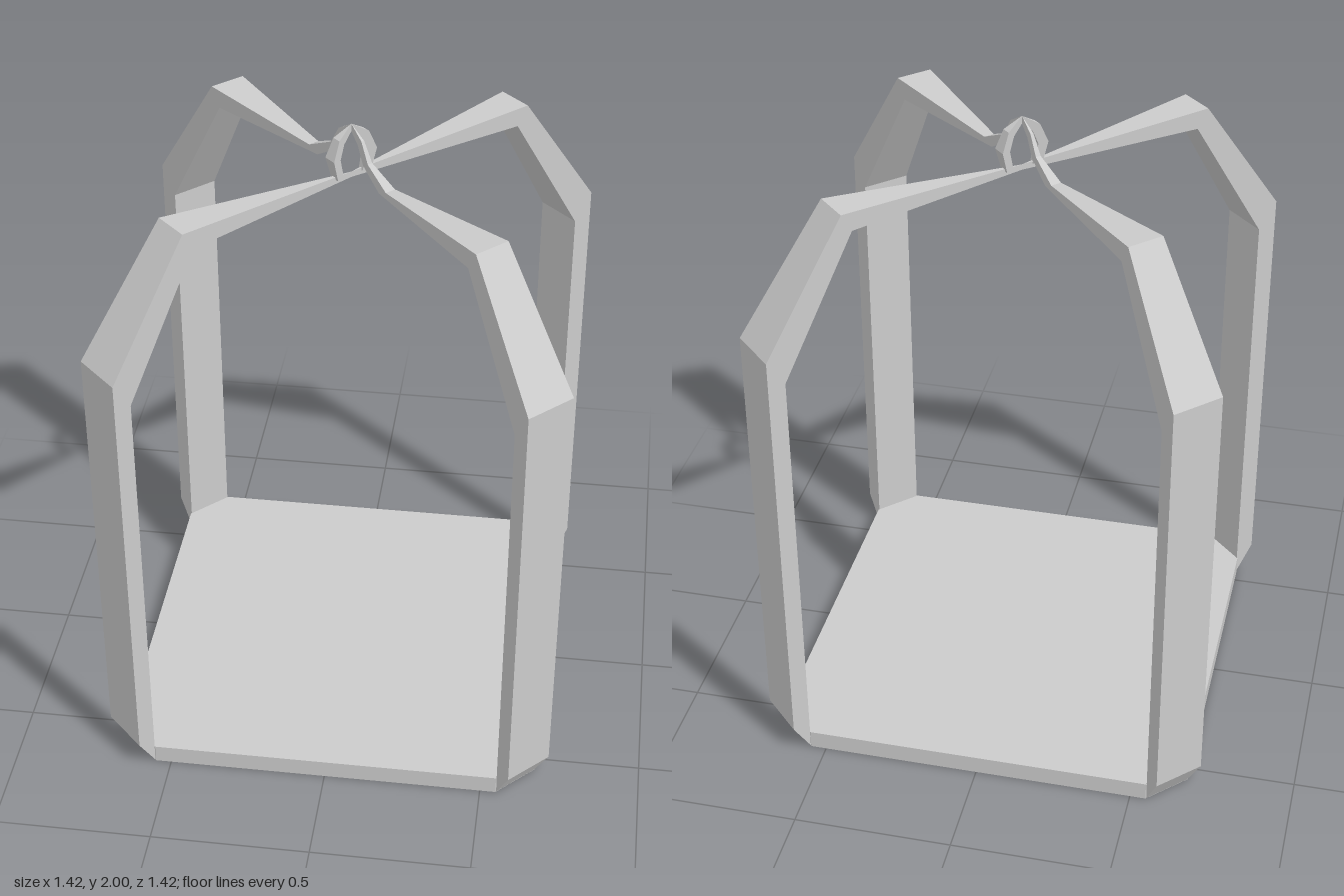
import * as THREE from 'three';

const material = new THREE.MeshStandardMaterial({ color: 0xcccccc, flatShading: true, side: THREE.DoubleSide });

const shapeOf = (points) => new THREE.Shape(points.map(([a, b]) => new THREE.Vector2(a, b)));

// Extrudes a [radius, height] outline into a wedge whose width grows with the radius.
function wedge(points, widthRatio) {
  const geometry = new THREE.ExtrudeGeometry(shapeOf(points), { depth: 1, bevelEnabled: false });
  const p = geometry.attributes.position;
  for (let i = 0; i < p.count; i++) p.setZ(i, (2 * p.getZ(i) - 1) * widthRatio * p.getX(i));
  geometry.computeVertexNormals();
  return geometry;
}

export function createModel() {
  const model = new THREE.Group();
  model.name = 'lanternFrame';

  const add = (name, geometry, angle = 0) => {
    const mesh = new THREE.Mesh(geometry, material);
    mesh.name = name;
    mesh.rotation.y = angle;
    model.add(mesh);
  };

  // Base plate: a square with clipped corners
  const a = 0.667, b = 0.55;
  const base = new THREE.ExtrudeGeometry(
    shapeOf([[a, -b], [a, b], [b, a], [-b, a], [-a, b], [-a, -b], [-b, -a], [b, -a]]),
    { depth: 0.06, bevelEnabled: false });
  base.rotateX(-Math.PI / 2);
  add('basePlate', base);

  // Post and shoulder outline, shared by all four arms
  const inner = [[0.608, 1.82], [0.86, 1.4], [0.86, 0]];
  const outer = [[0.919, 0.1], [0.919, 1.49], [0.643, 1.882]];

  // One pair of arms meets flat at the centre, the other rises into the peak
  const flatArm = wedge([[0, 1.822], ...inner, ...outer, [0, 1.84]], 0.0925);
  const risingArm = wedge([
    [0, 1.975], [0.035, 1.945], [0.065, 1.89], [0.15, 1.838], ...inner,
    ...outer, [0.187, 1.857], [0.09, 1.905], [0.055, 1.965], [0, 2],
  ], 0.0925);

  // Half of the hanging ring, standing on the flat arms
  const halfRing = wedge([
    [0.035, 1.835], [0.062, 1.835], [0.08, 1.905], [0.055, 1.965], [0, 2],
    [0, 1.975], [0.033, 1.945], [0.05, 1.9],
  ], 0.27);

  for (const turn of [0, Math.PI]) {
    add('flatArm', flatArm, Math.PI / 4 + turn);
    add('risingArm', risingArm, -Math.PI / 4 + turn);
    add('hangingRingHalf', halfRing, Math.PI / 4 + turn);
  }
  return model;
}
